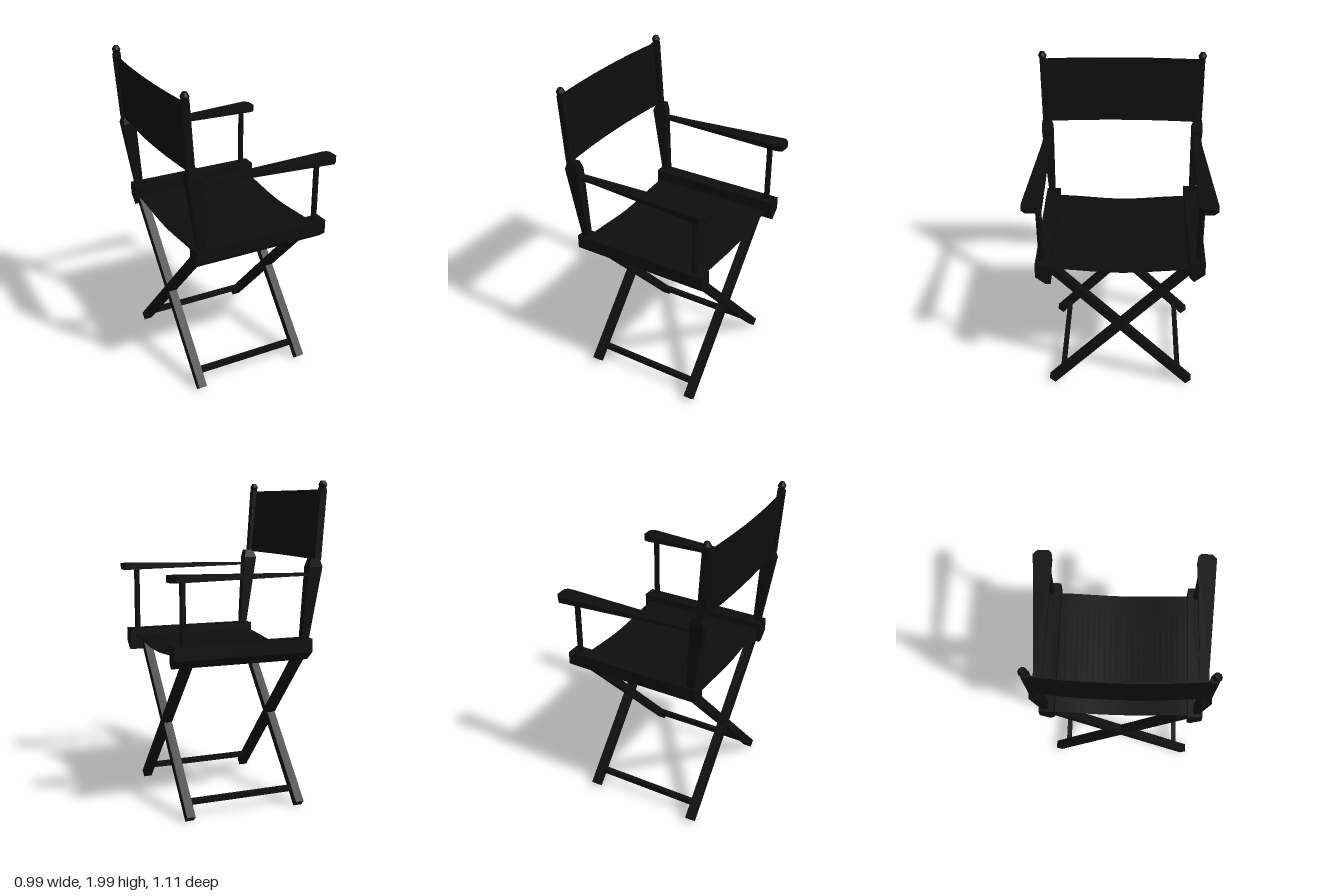
import * as THREE from 'three';

export function createModel() {
  const chair = new THREE.Group();
  const wood = new THREE.MeshStandardMaterial({ color: 0x0e0e0e });
  wood.name = 'black wood';
  const cloth = new THREE.MeshStandardMaterial({ color: 0x0d0d0d });
  cloth.name = 'black canvas';

  const add = (name, geo, mat = wood) => {
    const m = new THREE.Mesh(geo, mat);
    m.name = name;
    chair.add(m);
    return m;
  };
  // move every vertex by a rule, then rebuild normals
  const warp = (geo, rule) => {
    const p = geo.attributes.position;
    const v = new THREE.Vector3();
    for (let i = 0; i < p.count; i++) {
      rule(v.fromBufferAttribute(p, i));
      p.setXYZ(i, v.x, v.y, v.z);
    }
    geo.computeVertexNormals();
    return geo;
  };
  // upright tapered post; each end is [x, y, z, width in x, width in z]
  const post = (name, a, b, mat) => add(name, warp(new THREE.BoxGeometry(1, 1, 1), (v) => {
    const e = v.y < 0 ? a : b;
    v.set(e[0] + v.x * e[3], e[1], e[2] + v.z * e[4]);
  }), mat);
  const shapeOf = (pts) => new THREE.Shape(pts.map(([x, y]) => new THREE.Vector2(x, y)));

  // crossed legs, front and back
  const legLength = 2 * Math.hypot(0.452, 0.485);
  for (const x of [-0.357, 0.357]) {
    for (const s of [-1, 1]) {
      const leg = add('leg', new THREE.BoxGeometry(0.053, legLength, 0.05));
      leg.position.set(x, 0.51, 0);
      leg.rotation.x = s * Math.atan2(0.452, 0.485);
    }
  }

  // seat rails, one sitting slightly higher than the other
  const rails = [
    [[0.415, 1.045], [0.415, 0.91], [0.445, 0.91], [0.505, 0.96], [0.505, 1.045]],
    [[-0.505, 1.07], [-0.505, 0.99], [-0.44, 0.935], [-0.412, 0.97], [-0.412, 1.07]],
  ];
  for (const profile of rails) {
    const geo = new THREE.ExtrudeGeometry(shapeOf(profile), { depth: 0.87, bevelEnabled: false });
    geo.rotateY(-Math.PI / 2).translate(0.465, 0, 0);
    add('seatRail', geo);
  }

  for (const s of [-1, 1]) {
    // floor stretcher between front and back legs
    const stretcher = add('stretcher', new THREE.BoxGeometry(0.68, 0.032, 0.032));
    stretcher.position.set(0, 0.105, s * 0.378);

    // back post in two pieces, with a knob on top
    post('lowerBackPost', [-0.36, 1.03, s * 0.467, 0.045, 0.036], [-0.413, 1.5, s * 0.481, 0.085, 0.068]);
    post('lowerBackPostTop', [-0.413, 1.5, s * 0.481, 0.085, 0.068], [-0.41, 1.55, s * 0.487, 0.055, 0.05]);
    post('upperBackPost', [-0.423, 1.5, s * 0.491, 0.036, 0.034], [-0.455, 1.96, s * 0.494, 0.036, 0.034]);
    const knob = add('postKnob', new THREE.CylinderGeometry(0.014, 0.026, 0.022, 10));
    knob.position.set(-0.458, 1.989, s * 0.495);
    const knobBase = add('postKnobBase', new THREE.CylinderGeometry(0.026, 0.018, 0.024, 10));
    knobBase.position.set(-0.457, 1.966, s * 0.495);

    // canvas sleeve around the post
    post('backSleeve', [-0.43, 1.54, s * 0.487, 0.042, 0.036], [-0.46, 1.95, s * 0.487, 0.042, 0.036], cloth);

    // flared armrest, thicker toward the front
    const plan = [[-0.39, 0.455], [0.45, 0.44], [0.48, 0.445], [0.495, 0.462],
      [0.495, 0.53], [0.467, 0.557], [-0.25, 0.507], [-0.39, 0.507]];
    const arm = new THREE.ExtrudeGeometry(shapeOf(plan.map(([x, z]) => [x, s * z])), { depth: 1, bevelEnabled: false });
    arm.rotateX(Math.PI / 2).translate(0, 0.5, 0);
    add('armrest', warp(arm, (v) => {
      v.y = 1.456 + v.y * 2 * THREE.MathUtils.mapLinear(v.x, -0.39, 0.495, 0.007, 0.02);
    }));

    // arm support
    const support = add('armSupport', new THREE.CylinderGeometry(0.018, 0.018, 0.42, 10));
    support.position.set(0.402, 1.24, s * 0.468);
  }

  // sagging canvas seat
  add('seat', warp(new THREE.BoxGeometry(0.81, 0.008, 0.86, 1, 1, 24), (v) => {
    v.x += 0.02;
    v.y += 0.998 - 0.024 * (0.5 + 0.5 * Math.cos(Math.PI * v.z / 0.43));
  }), cloth);

  // canvas back, bowed rearward and leaning back
  add('backrest', warp(new THREE.BoxGeometry(0.008, 0.41, 0.98, 1, 1, 24), (v) => {
    const bow = 1 - (v.z / 0.49) ** 2;
    v.x += -0.449 - 0.025 * bow - 0.037 * (v.y / 0.41);
    v.y += 1.745;
  }), cloth);

  return chair;
}
